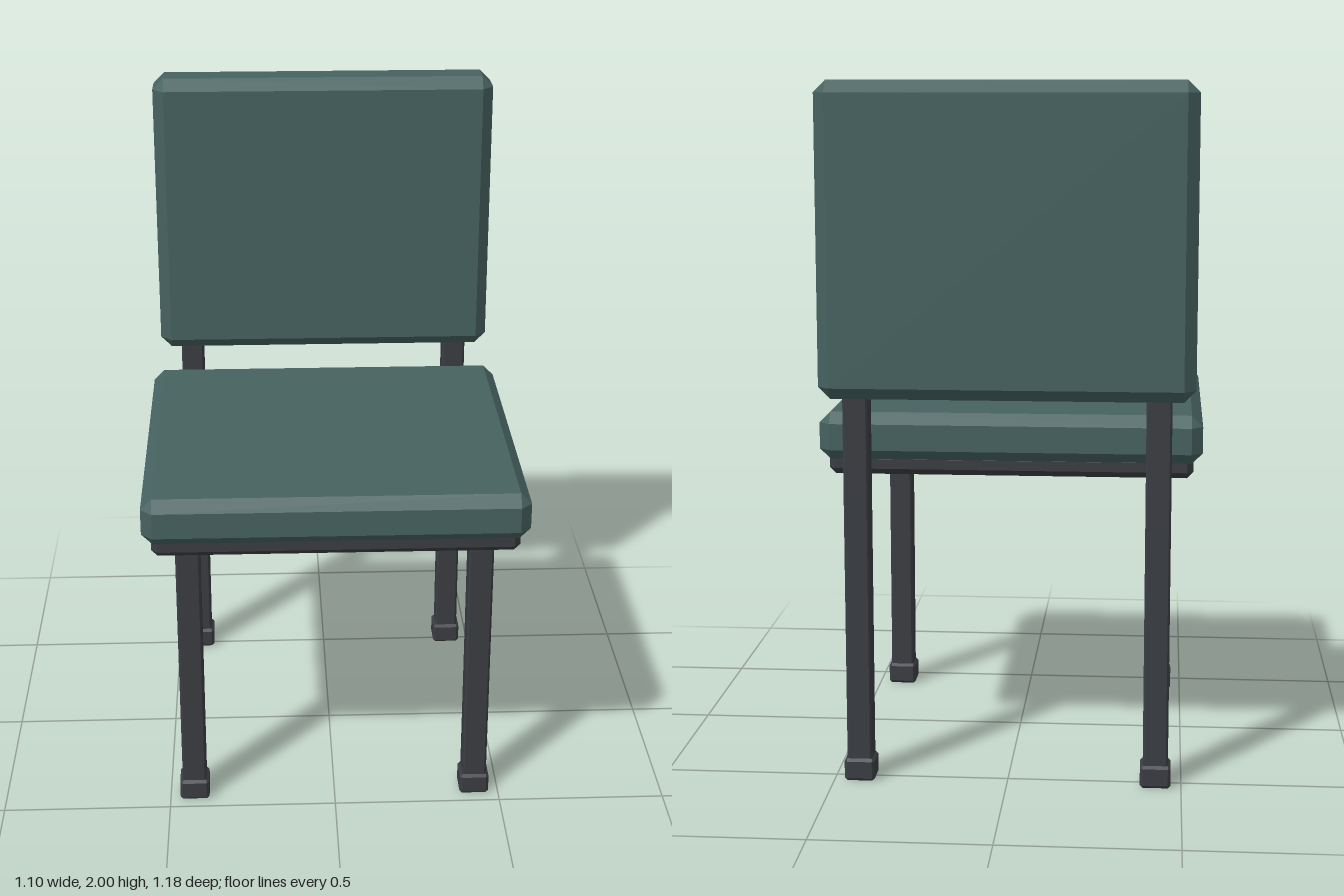
import * as THREE from 'three';
import { ConvexGeometry } from 'three/addons/geometries/ConvexGeometry.js';

const upholstery = new THREE.MeshStandardMaterial({ color: 0x466260 });
upholstery.name = 'tealUpholstery';
const metal = new THREE.MeshStandardMaterial({ color: 0x3a3d42 });
metal.name = 'darkMetal';

// Box between two corners with every edge and corner cut by c; flat faces
function bevelledBox(name, material, [x0, y0, z0], [x1, y1, z1], c) {
  const half = [(x1 - x0) / 2, (y1 - y0) / 2, (z1 - z0) / 2];
  const points = [];
  for (const sx of [-1, 1]) for (const sy of [-1, 1]) for (const sz of [-1, 1]) {
    for (let axis = 0; axis < 3; axis++) {
      const p = half.map((h, i) => (i === axis ? h : h - c));
      points.push(new THREE.Vector3(sx * p[0], sy * p[1], sz * p[2]));
    }
  }
  const mesh = new THREE.Mesh(new ConvexGeometry(points), material);
  mesh.name = name;
  mesh.position.set((x0 + x1) / 2, (y0 + y1) / 2, (z0 + z1) / 2);
  return mesh;
}

// Square post centred on (x, z)
function post(name, x, z, width, y0, y1, c) {
  const h = width / 2;
  return bevelledBox(name, metal, [x - h, y0, z - h], [x + h, y1, z + h], c);
}

export function createModel() {
  const chair = new THREE.Group();
  chair.name = 'chair';

  // Cushions and the frame under the seat
  chair.add(
    bevelledBox('seatCushion', upholstery, [-0.55, 0.92, -0.445], [0.55, 1.06, 0.59], 0.032),
    bevelledBox('backrest', upholstery, [-0.527, 1.12, -0.59], [0.527, 2, -0.437], 0.034),
    bevelledBox('seatFrame', metal, [-0.524, 0.876, -0.416], [0.524, 0.94, 0.56], 0.018),
  );

  // Legs with feet; the back pair runs up into the backrest
  for (const [side, x] of [['left', 0.426], ['right', -0.426]]) {
    for (const [end, z, top] of [['Front', 0.422, 0.9], ['Back', -0.51, 1.25]]) {
      const leg = new THREE.Group();
      leg.name = `${side}${end}Leg`;
      leg.add(
        post('post', x, z, 0.072, 0.03, top, 0.006),
        post('foot', x, z, 0.088, 0, 0.066, 0.008),
      );
      chair.add(leg);
    }
  }
  return chair;
}
